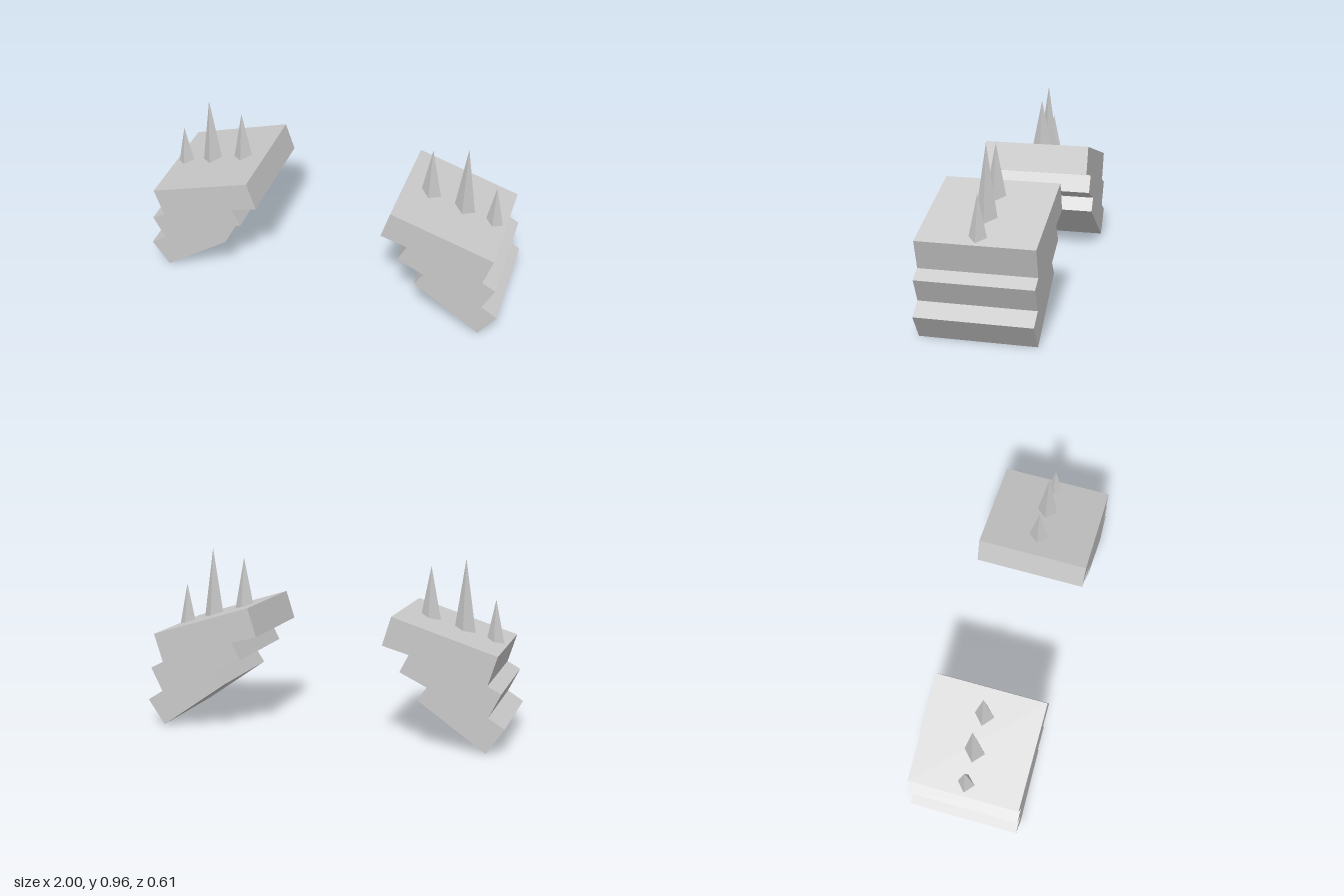
import * as THREE from 'three';

export function createModel() {
  const model = new THREE.Group();
  model.name = 'shoulderArmour';

  const steel = new THREE.MeshStandardMaterial({ color: 0xc9c9c9 });
  steel.name = 'light grey steel';

  const depth = 0.606;

  // Stepped outline of three overlapping, increasingly tilted plates
  const outline = [
    [0.398, 0.686], [0.955, 0.512], [0.906, 0.357], [0.978, 0.319],
    [0.914, 0.191], [1.0, 0.136], [0.906, 0], [0.543, 0.254],
    [0.591, 0.326], [0.445, 0.397], [0.493, 0.491], [0.35, 0.531],
  ];

  // Spikes: x, tip height, base height (sunk into the top plate), radius
  const spikes = [
    ['innerSpike', 0.536, 0.915, 0.618, 0.058],
    ['middleSpike', 0.723, 0.961, 0.557, 0.06],
    ['outerSpike', 0.887, 0.752, 0.509, 0.051],
  ];

  for (const [side, s] of [['left', 1], ['right', -1]]) {
    const pad = new THREE.Group();
    pad.name = side + 'ShoulderPad';

    // Layered plates
    const shape = new THREE.Shape(outline.map(([x, y]) => new THREE.Vector2(s * x, y)));
    const plateGeometry = new THREE.ExtrudeGeometry(shape, { depth, bevelEnabled: false });
    plateGeometry.translate(0, 0, -depth / 2);
    const plates = new THREE.Mesh(plateGeometry, steel);
    plates.name = 'layeredPlates';
    pad.add(plates);

    // Upright four-sided spikes; toNonIndexed keeps their faces flat
    for (const [name, x, tip, base, radius] of spikes) {
      const geometry = new THREE.ConeGeometry(radius, tip - base, 4).toNonIndexed();
      geometry.computeVertexNormals();
      const spike = new THREE.Mesh(geometry, steel);
      spike.name = name;
      spike.position.set(s * x, (tip + base) / 2, 0);
      pad.add(spike);
    }
    model.add(pad);
  }
  return model;
}
